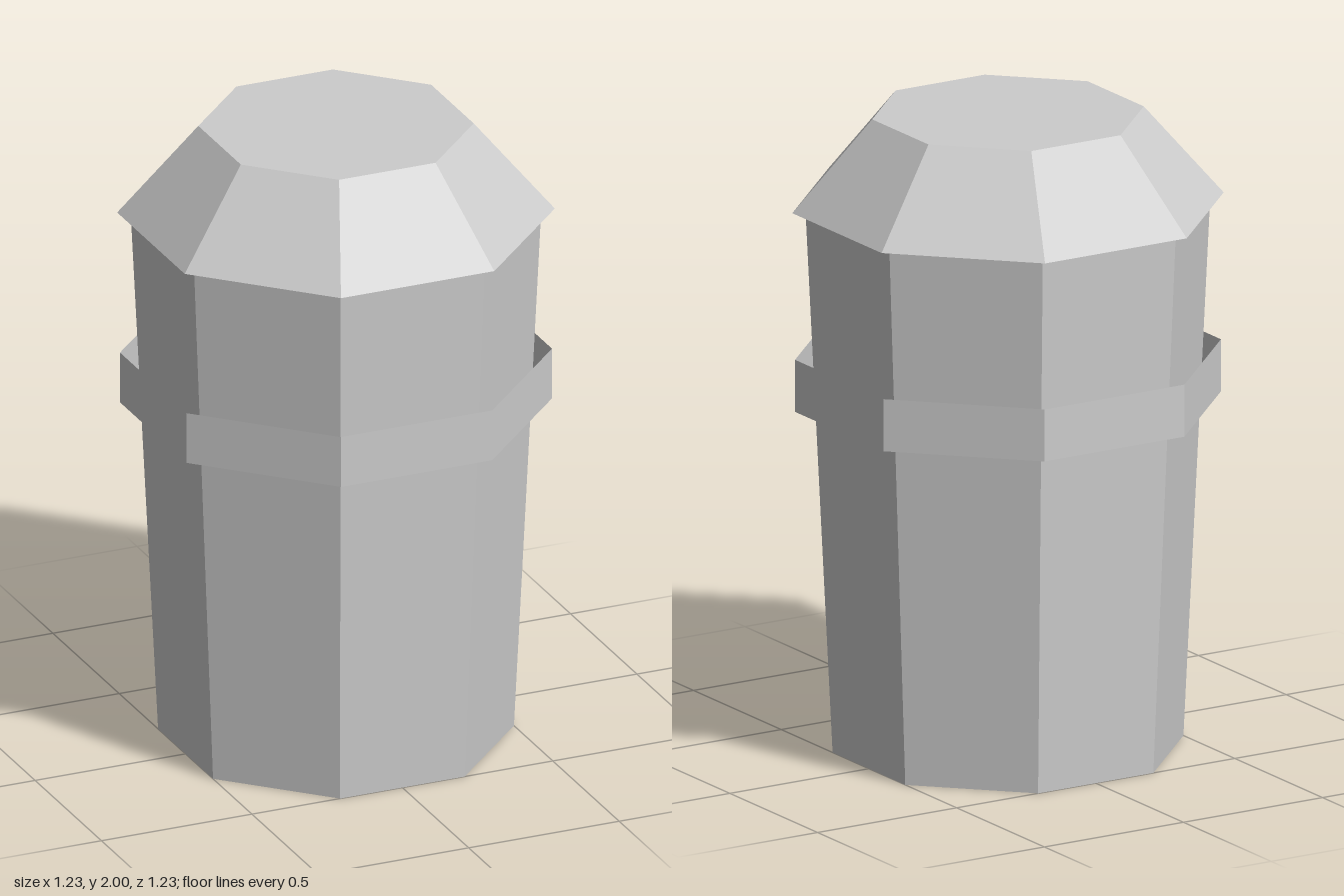
import * as THREE from 'three';

const SIDES = 8;

// Octagonal section with flat sides facing the axes; radii measured to the flats
function octagon(name, topFlat, bottomFlat, y0, y1, open, material) {
  const k = 1 / Math.cos(Math.PI / SIDES);
  const geometry = new THREE.CylinderGeometry(topFlat * k, bottomFlat * k, y1 - y0, SIDES, 1, open);
  geometry.rotateY(Math.PI / SIDES);
  geometry.translate(0, (y0 + y1) / 2, 0);
  const mesh = new THREE.Mesh(geometry, material);
  mesh.name = name;
  return mesh;
}

export function createModel() {
  const group = new THREE.Group();
  group.name = 'litterBin';

  const grey = new THREE.MeshStandardMaterial({ color: 0xcccccc, flatShading: true, side: THREE.DoubleSide });
  grey.name = 'grey';

  group.add(
    octagon('body', 0.577, 0.5, 0, 1.715, false, grey),
    // thin open hoop standing clear of the body
    octagon('band', 0.607, 0.607, 1.085, 1.25, true, grey),
    // overhanging sloped lid with a flat top
    octagon('lid', 0.387, 0.615, 1.715, 2, false, grey)
  );
  return group;
}
